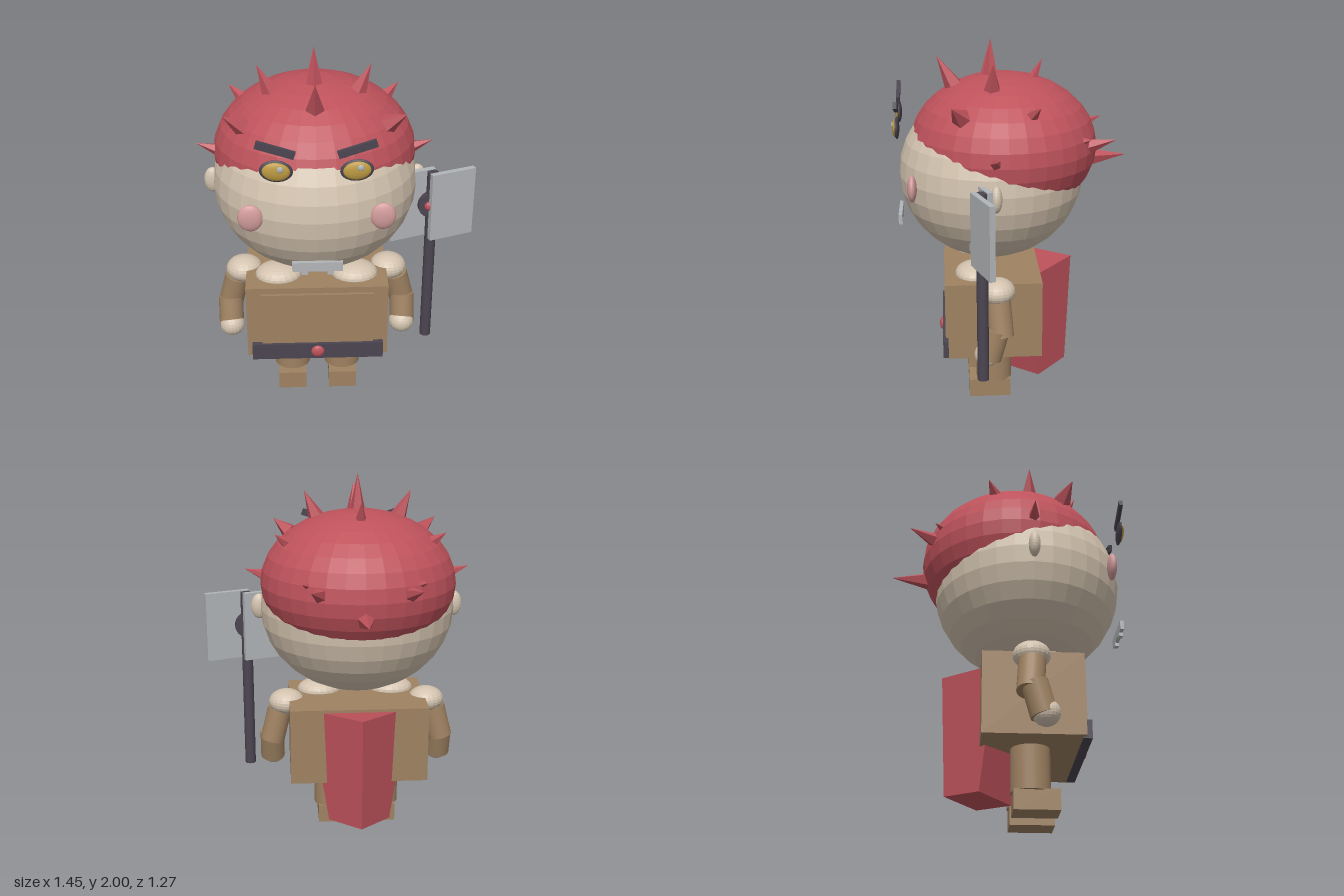
import * as THREE from 'three';

const mat = (name, color, flatShading = false) => {
  const m = new THREE.MeshStandardMaterial({ color, flatShading });
  m.name = name;
  return m;
};
const V = (x, y, z) => new THREE.Vector3(x, y, z);

export function createModel() {
  const red = mat('red', 0xbe525b, true);
  const skin = mat('skin', 0xd3c3af, true);
  const tan = mat('tan leather', 0x9f8262);
  const dark = mat('dark', 0x4b4550);
  const gold = mat('gold', 0xbd9b42);
  const pink = mat('pink', 0xd39c9c);
  const steel = mat('steel', 0xb2b5b8);

  // Everything but the weapon is symmetric about the figure's own axis
  const root = new THREE.Group();
  const figure = new THREE.Group();
  figure.name = 'figure';
  figure.position.x = -0.115;
  root.add(figure);

  const add = (name, geo, material, x, y, z, parent = figure) => {
    const m = new THREE.Mesh(geo, material);
    m.name = name;
    m.position.set(x, y, z);
    parent.add(m);
    return m;
  };
  const box = (name, material, w, h, d, x, y, z, parent) =>
    add(name, new THREE.BoxGeometry(w, h, d), material, x, y, z, parent);
  const ball = (name, material, rx, ry, rz, x, y, z, ws = 20, hs = 14, parent = figure) =>
    add(name, new THREE.SphereGeometry(1, ws, hs).scale(rx, ry, rz), material, x, y, z, parent);
  // Cylinder or cone stretched between two points
  const rod = (name, material, a, b, rA, rB, sides, parent) => {
    const mid = a.clone().add(b).multiplyScalar(0.5);
    const m = add(name, new THREE.CylinderGeometry(rB, rA, a.distanceTo(b), sides), material, mid.x, mid.y, mid.z, parent);
    m.quaternion.setFromUnitVectors(V(0, 1, 0), b.clone().sub(a).normalize());
    return m;
  };

  // Head and hair
  ball('head', skin, 0.53, 0.47, 0.5, 0, 1.28, 0.11, 32, 16);
  ball('hair', red, 0.526, 0.387, 0.506, 0, 1.43, 0.044, 32, 16);

  // Hair spikes: base, tip, radius
  const spike = (b, t, r) => rod('hairSpike', red, V(...b), V(...t), r, 0, 5);
  spike([0, 1.73, 0.11], [0, 2.0, 0.11], 0.06);
  spike([0, 1.74, 0.3], [0, 1.91, 0.395], 0.055);
  spike([0, 1.75, -0.1], [0, 1.89, -0.165], 0.04);
  spike([0, 1.34, -0.38], [0, 1.355, -0.63], 0.06);
  for (const s of [-1, 1]) {
    spike([s * 0.215, 1.755, 0.11], [s * 0.285, 1.91, 0.11], 0.05);
    spike([s * 0.36, 1.655, 0.275], [s * 0.45, 1.725, 0.325], 0.052);
    spike([s * 0.375, 1.66, -0.08], [s * 0.445, 1.72, -0.12], 0.036);
    spike([s * 0.51, 1.455, 0.11], [s * 0.61, 1.49, 0.11], 0.03);
    spike([s * 0.22, 1.46, -0.38], [s * 0.275, 1.51, -0.53], 0.045);
    spike([s * 0.28, 1.505, -0.35], [s * 0.315, 1.52, -0.395], 0.025);
  }

  // Face
  for (const s of [-1, 1]) {
    const eye = new THREE.Group();
    eye.name = 'eye';
    eye.position.set(s * 0.19, 1.57, 0.608);
    figure.add(eye);
    ball('eyeRim', dark, 0.08, 0.056, 0.014, 0, 0, 0, 20, 12, eye);
    ball('iris', gold, 0.067, 0.047, 0.017, 0, 0, 0.007, 20, 12, eye);
    ball('eyeGlint', steel, 0.016, 0.016, 0.007, 0.018, 0.018, 0.021, 12, 8, eye);
    eye.rotation.z = s * 0.1;

    box('eyebrow', dark, 0.19, 0.037, 0.02, s * 0.192, 1.68, 0.61).rotation.z = s * 0.32;
    ball('cheek', pink, 0.063, 0.072, 0.025, s * 0.325, 1.28, 0.535);
    ball('ear', skin, 0.045, 0.07, 0.03, s * 0.535, 1.28, 0.11);
    box('tooth', steel, 0.032, 0.022, 0.02, s * 0.065, 1.011, 0.61);
  }
  box('mouthPlate', steel, 0.25, 0.05, 0.02, 0, 1.045, 0.61);

  // Torso
  box('torso', tan, 0.76, 0.43, 0.508, 0, 0.54, 0.111);
  box('chestPanel', tan, 0.6, 0.34, 0.02, 0, 0.55, 0.37);
  box('belt', dark, 0.71, 0.095, 0.045, 0, 0.364, 0.372);
  ball('buckle', red, 0.036, 0.036, 0.02, 0, 0.364, 0.393);

  // Four-sided cape leaning against the back
  add('cape', new THREE.CylinderGeometry(0.27, 0.17, 0.635, 4), red, 0, 0.415, -0.107).rotation.x = 0.117;

  // Limbs
  for (const s of [-1, 1]) {
    ball('collarFur', skin, 0.125, 0.06, 0.105, s * 0.205, 0.757, 0.215);
    ball('shoulder', skin, 0.1, 0.07, 0.095, s * 0.395, 0.725, 0.1);
    rod('upperArm', tan, V(s * 0.435, 0.68, 0.1), V(s * 0.48, 0.5, 0.085), 0.068, 0.068, 20);
    rod('forearm', tan, V(s * 0.479, 0.545, 0.105), V(s * 0.479, 0.38, 0.15), 0.068, 0.068, 20);
    ball('hand', skin, 0.069, 0.066, 0.069, s * 0.475, 0.395, 0.16);
    add('leg', new THREE.CylinderGeometry(0.1, 0.1, 0.25, 24), tan, s * 0.142, 0.225, 0.11);
    box('foot', tan, 0.155, 0.105, 0.23, s * 0.142, 0.0525, 0.135);
  }

  // Two-bladed axe at the left hand
  const axe = new THREE.Group();
  axe.name = 'axe';
  axe.position.set(0.495, 0, 0.187);
  root.add(axe);
  rod('axeHandle', dark, V(0, 0.32, 0), V(0, 1.34, 0), 0.03, 0.03, 16, axe);
  for (const s of [-1, 1]) {
    box('axeBlade', steel, 0.25, 0.385, 0.03, s * 0.105, 1.152, 0, axe).rotation.y = 0.35;
  }
  const hub = add('axeHub', new THREE.CylinderGeometry(0.07, 0.07, 0.04, 20).rotateX(Math.PI / 2), dark, -0.005, 1.152, 0, axe);
  hub.rotation.y = 0.15;
  ball('axeGem', red, 0.026, 0.026, 0.02, -0.015, 1.152, 0.025, 14, 10, axe);

  return root;
}
